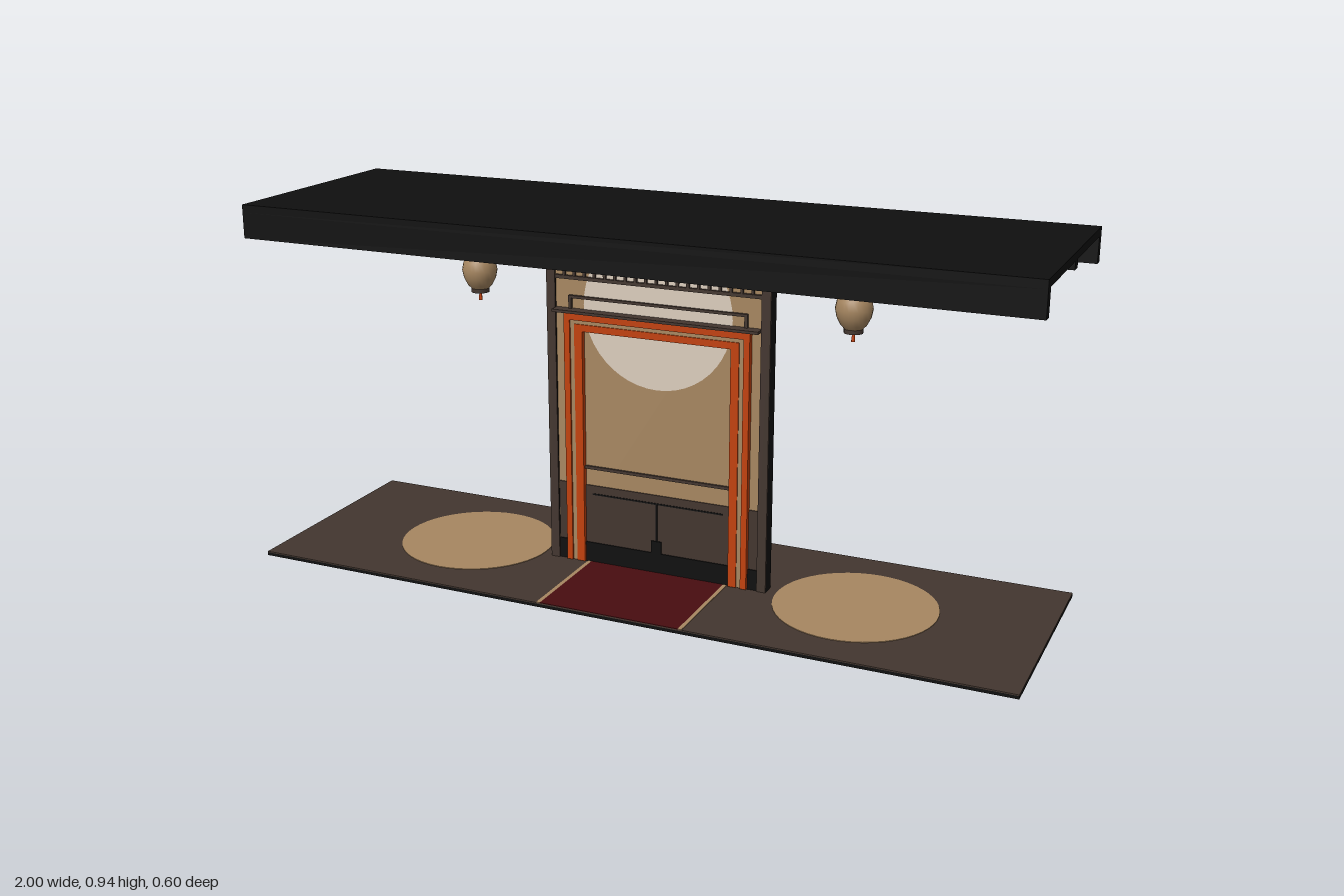
import * as THREE from 'three';

export function createModel() {
  const group = new THREE.Group();
  const mat = (name, color) => {
    const m = new THREE.MeshStandardMaterial({ color });
    m.name = name;
    return m;
  };
  const black = mat('black lacquer', 0x0f0f0f);
  const brown = mat('dark wood', 0x43362f);
  const tan = mat('warm paper', 0xa78761);
  const cream = mat('pale moon', 0xdccdbd);
  const orange = mat('orange paint', 0xc2410c);
  const red = mat('dark red cloth', 0x480d10);

  const add = (name, geo, material, x = 0, y = 0, z = 0, parent = group) => {
    const m = new THREE.Mesh(geo, material);
    m.name = name;
    m.position.set(x, y, z);
    parent.add(m);
    return m;
  };
  // Box given by its limits on each axis
  const box = (name, material, [x0, x1], [y0, y1], [z0, z1]) =>
    add(name, new THREE.BoxGeometry(x1 - x0, y1 - y0, z1 - z0), material,
      (x0 + x1) / 2, (y0 + y1) / 2, (z0 + z1) / 2);
  // Box and its mirror image in x
  const pair = (name, material, [x0, x1], y, z) => {
    box(name + 'Left', material, [x0, x1], y, z);
    box(name + 'Right', material, [-x1, -x0], y, z);
  };

  // Floor slab with round mats and a runner
  box('floorSlab', black, [-1, 1], [0, 0.008], [-0.3, 0.3]);
  box('floorTop', brown, [-1, 1], [0.008, 0.011], [-0.3, 0.3]);
  for (const s of [-1, 1]) {
    add('roundMat', new THREE.CylinderGeometry(0.205, 0.205, 0.002, 48), tan, s * 0.53, 0.0115, 0);
  }
  box('runner', red, [-0.185, 0.185], [0.011, 0.0125], [-0.3, 0.3]);
  pair('runnerEdge', tan, [0.185, 0.195], [0.011, 0.0125], [-0.3, 0.3]);

  // Roof slab, hanging lips and coffered ceiling
  box('roofSlab', black, [-1, 1], [0.92, 0.94], [-0.3, 0.3]);
  for (const s of [-1, 1]) {
    add('roofLip', new THREE.BoxGeometry(2, 0.065, 0.025), black, 0, 0.8875, s * 0.2875);
  }
  box('lipLining', brown, [-0.99, 0.99], [0.857, 0.918], [0.273, 0.275]);
  box('ridgeBeam', black, [-1, 1], [0.9, 0.92], [-0.015, 0.015]);
  for (let i = -3; i <= 3; i++) {
    add('crossBeam', new THREE.BoxGeometry(0.025, 0.02, 0.55), black, i * 0.25, 0.91, 0);
  }
  for (let i = 0; i < 8; i++) {
    for (const s of [-1, 1]) {
      add('ceilingPanel', new THREE.BoxGeometry(0.19, 0.004, 0.19), tan, -0.875 + i * 0.25, 0.918, s * 0.142);
    }
  }

  // Wall core and side posts
  box('wallCore', tan, [-0.28, 0.28], [0.011, 0.9], [-0.019, 0.006]);
  pair('post', black, [0.278, 0.3], [0.011, 0.9], [-0.022, 0.012]);
  pair('postFace', brown, [0.276, 0.3], [0.011, 0.9], [0.012, 0.016]);

  // Front: moon disc, lower panelling and rails
  const moon = add('moonDisc', new THREE.CircleGeometry(0.2, 48), cream, 0, 0.7, 0.0075);
  moon.material = cream;
  box('lowerPanel', brown, [-0.276, 0.276], [0.011, 0.222], [0.006, 0.009]);
  box('skirting', black, [-0.276, 0.276], [0.011, 0.065], [0.009, 0.012]);
  box('skirtingKnob', black, [-0.014, 0.014], [0.065, 0.098], [0.009, 0.013]);
  box('panelSeam', black, [-0.002, 0.002], [0.098, 0.2], [0.009, 0.0105]);
  box('panelLine', black, [-0.18, 0.18], [0.197, 0.201], [0.009, 0.0105]);
  box('wallRail', brown, [-0.2, 0.2], [0.267, 0.275], [0.006, 0.012]);

  // Orange door frame built from nested bands
  const frameBand = (name, material, inner, outer, topIn, topOut, z) => {
    pair(name, material, [inner, outer], [0.013, topOut], z);
    box(name + 'Top', material, [-inner, inner], [topIn, topOut], z);
  };
  frameBand('frameInner', orange, 0.2, 0.222, 0.632, 0.65, [0.006, 0.02]);
  frameBand('frameInlay', tan, 0.222, 0.234, 0.65, 0.66, [0.006, 0.017]);
  frameBand('frameOuter', orange, 0.234, 0.25, 0.66, 0.676, [0.006, 0.022]);

  // Header shelf, small bracket frame and upper lattice
  box('headerShelf', brown, [-0.276, 0.276], [0.68, 0.687], [0.006, 0.037]);
  box('bracketRail', brown, [-0.24, 0.24], [0.714, 0.721], [0.006, 0.014]);
  pair('bracketStile', brown, [0.232, 0.24], [0.687, 0.714], [0.006, 0.014]);
  box('latticeRail', brown, [-0.276, 0.276], [0.762, 0.771], [0.006, 0.015]);
  box('latticeTop', brown, [-0.276, 0.276], [0.848, 0.856], [0.006, 0.015]);
  for (let i = -9; i <= 9; i++) {
    add('latticeSlat', new THREE.BoxGeometry(0.007, 0.077, 0.006), brown, i * 0.028, 0.8095, 0.0105);
  }
  pair('latticeBlock', black, [0.143, 0.153], [0.785, 0.856], [0.01, 0.016]);

  // Back: dark door panel, part frame and upper board
  box('backPanel', brown, [-0.2, 0.2], [0.011, 0.63], [-0.022, -0.019]);
  box('backUpperBoard', brown, [-0.278, 0.278], [0.73, 0.9], [-0.022, -0.019]);
  box('backFrameSide', orange, [-0.245, -0.2], [0.011, 0.675], [-0.022, -0.019]);
  box('backFrameTop', orange, [-0.2, 0.12], [0.63, 0.675], [-0.022, -0.019]);

  // Hanging lanterns
  const profile = [[0.021, -0.05], [0.032, -0.038], [0.041, -0.02], [0.045, 0], [0.041, 0.02], [0.032, 0.038], [0.021, 0.05]]
    .map(([r, y]) => new THREE.Vector2(r, y));
  for (const s of [-1, 1]) {
    const lantern = new THREE.Group();
    lantern.name = s > 0 ? 'lanternLeft' : 'lanternRight';
    lantern.position.set(s * 0.5, 0.76, 0);
    group.add(lantern);
    add('lanternBody', new THREE.LatheGeometry(profile, 24), tan, 0, 0, 0, lantern);
    for (const y of [-0.053, 0.053]) {
      add('lanternCap', new THREE.CylinderGeometry(0.023, 0.023, 0.011, 20), brown, 0, y, 0, lantern);
    }
    add('lanternCord', new THREE.CylinderGeometry(0.002, 0.002, 0.09, 8), black, 0, 0.1, 0, lantern);
    add('lanternTassel', new THREE.CylinderGeometry(0.003, 0.005, 0.022, 8), orange, 0, -0.069, 0, lantern);
  }
  return group;
}
